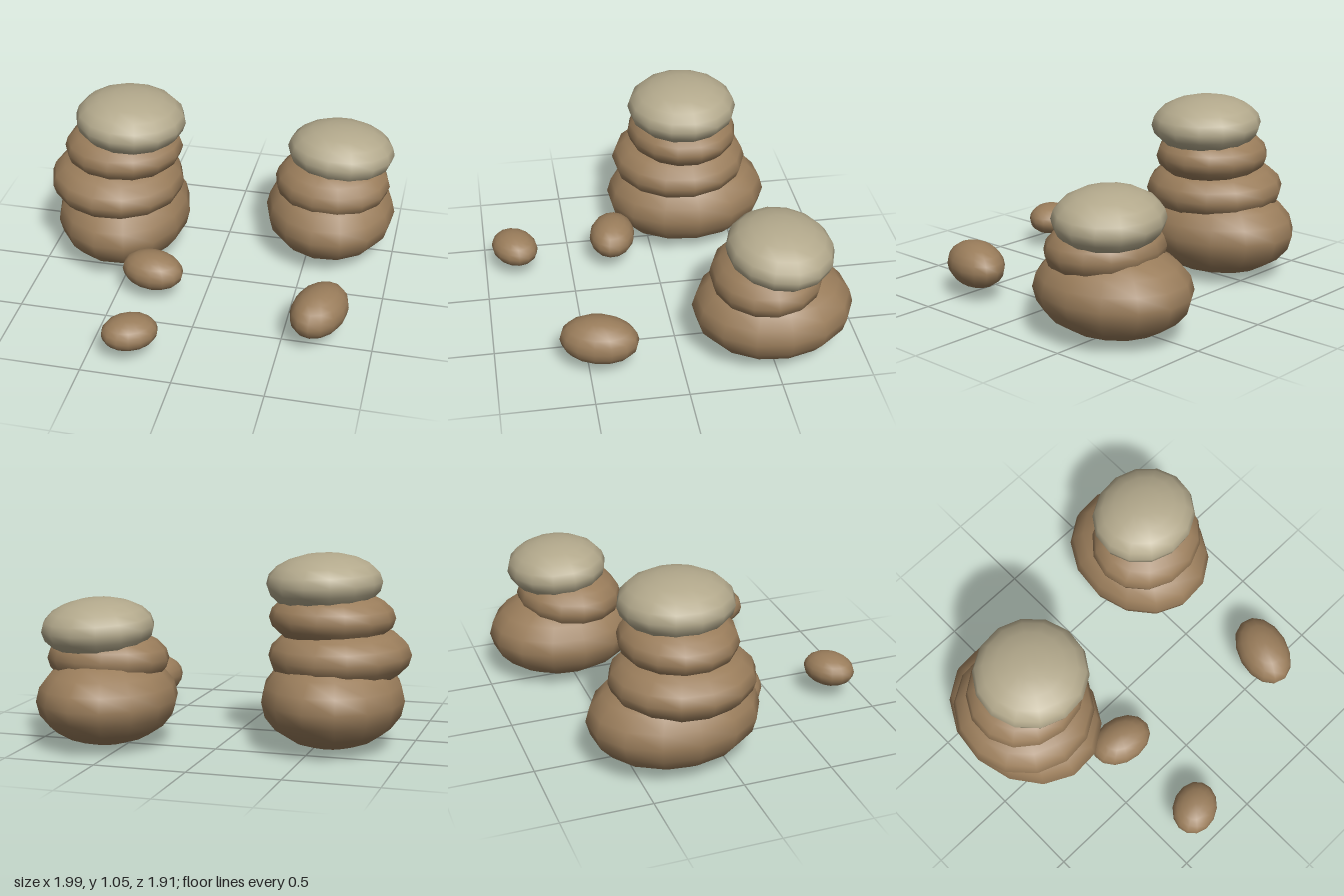
import * as THREE from 'three';

export function createModel() {
  const group = new THREE.Group();
  group.name = 'stoneCairns';

  const brown = new THREE.MeshStandardMaterial({ color: 0x9a7d5b });
  brown.name = 'brownStone';
  const pale = new THREE.MeshStandardMaterial({ color: 0xb3a98c });
  pale.name = 'paleCapStone';

  const pebble = new THREE.SphereGeometry(1, 14, 10);

  // One smooth flattened stone: centre, half sizes, rotation
  function stone(name, parent, material, centre, radii, turn = [0, 0, 0]) {
    const mesh = new THREE.Mesh(pebble, material);
    mesh.name = name;
    mesh.position.set(...centre);
    mesh.scale.set(...radii);
    mesh.rotation.set(...turn);
    parent.add(mesh);
  }

  // Tall stack of four stones
  const tall = new THREE.Group();
  tall.name = 'tallStack';
  stone('baseStone', tall, brown, [-0.585, 0.275, -0.245], [0.39, 0.265, 0.48], [0, 0.06, 0]);
  stone('secondStone', tall, brown, [-0.61, 0.505, -0.205], [0.39, 0.185, 0.4], [0, 0.1, -0.03]);
  stone('thirdStone', tall, brown, [-0.57, 0.71, -0.215], [0.342, 0.16, 0.32], [0, 0.2, 0]);
  stone('capStone', tall, pale, [-0.522, 0.895, -0.207], [0.317, 0.162, 0.315], [0, 0.1, -0.04]);

  // Short stack of three stones
  const short = new THREE.Group();
  short.name = 'shortStack';
  stone('baseStone', short, brown, [0.61, 0.262, -0.52], [0.382, 0.248, 0.442], [0, 0.08, 0]);
  stone('secondStone', short, brown, [0.62, 0.475, -0.475], [0.338, 0.17, 0.305], [0.05, 0, 0]);
  stone('capStone', short, pale, [0.655, 0.65, -0.535], [0.312, 0.161, 0.288], [-0.05, 0.1, -0.04]);

  // Loose pebbles on the ground in front
  const loose = new THREE.Group();
  loose.name = 'loosePebbles';
  stone('nearPebble', loose, brown, [-0.29, 0.185, 0.245], [0.181, 0.107, 0.133], [0, -0.2, 0]);
  stone('farPebble', loose, brown, [-0.268, 0.175, 0.825], [0.155, 0.092, 0.125], [0, 0.5, 0]);
  stone('longPebble', loose, brown, [0.695, 0.197, 0.44], [0.147, 0.128, 0.216], [0, -0.3, 0]);

  group.add(tall, short, loose);
  return group;
}
